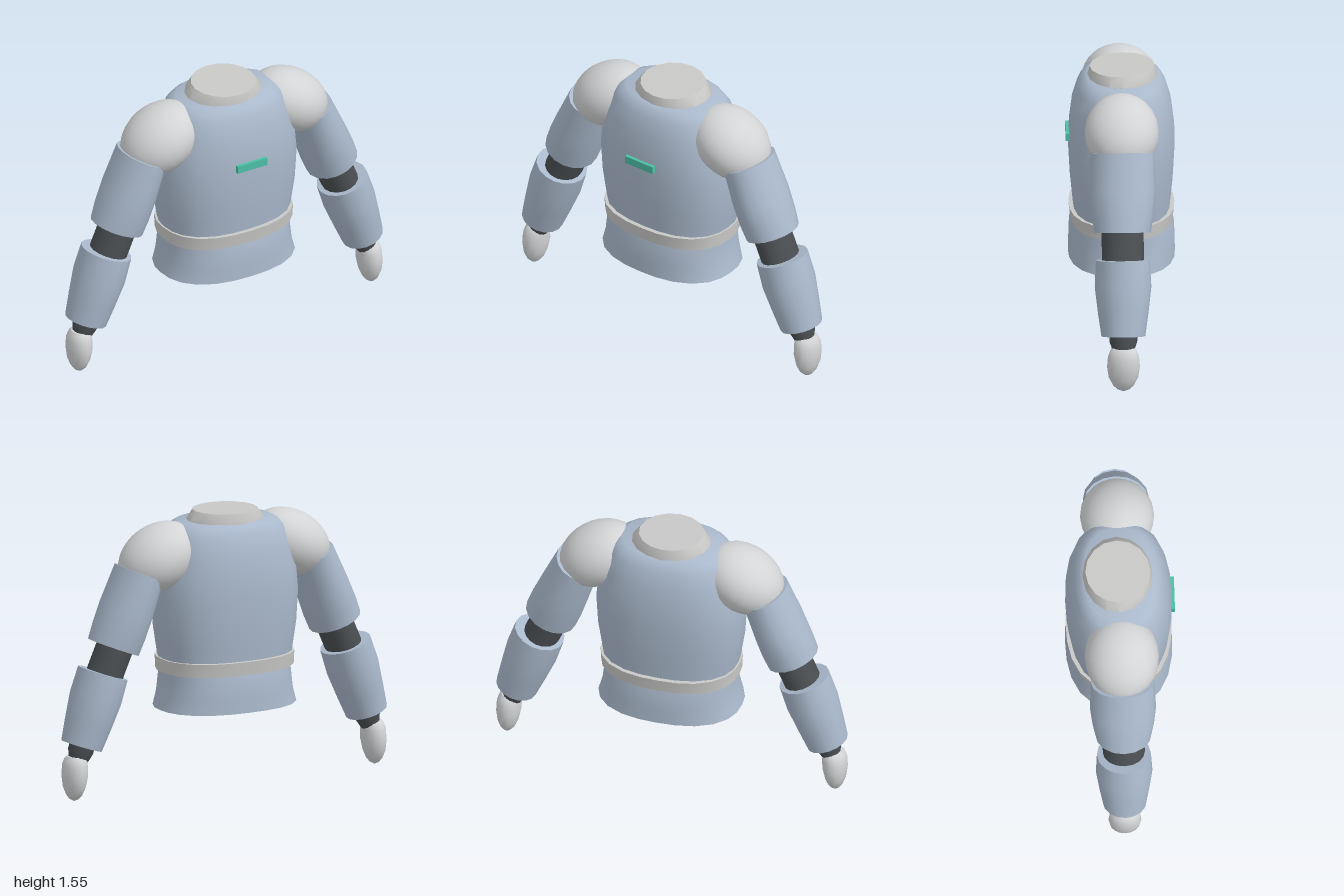
import * as THREE from 'three';
import { toCreasedNormals } from 'three/addons/utils/BufferGeometryUtils.js';

const mat = (name, color) => {
  const m = new THREE.MeshStandardMaterial({ color });
  m.name = name;
  return m;
};

// Capped tube through rows of [y, radiusX, radiusZ, offsetX, offsetZ], listed top to bottom.
// power 2 gives ellipses, higher values give squarer sections.
function loft(rows, sides = 16, power = 2, mirror = 1) {
  const n = rows.length - 1;
  const geo = new THREE.CylinderGeometry(1, 1, n, sides, n);
  const p = geo.attributes.position;
  for (let i = 0; i < p.count; i++) {
    const [y, rx, rz, ox = 0, oz = 0] = rows[Math.round(n / 2 - p.getY(i))];
    const x = p.getX(i), z = p.getZ(i);
    const sum = Math.abs(x) ** power + Math.abs(z) ** power;
    const k = sum > 0.01 ? sum ** (-1 / power) : 0;
    p.setXYZ(i, x * k * rx + ox * mirror, y, z * k * rz + oz);
  }
  return toCreasedNormals(geo, 0.75);
}

export function createModel() {
  const blue = mat('blueGrey cloth', 0xaab9cc);
  const pale = mat('pale shell', 0xd2d4d5);
  const trim = mat('trim grey', 0xc8c8c7);
  const dark = mat('dark joint', 0x4a4e51);
  const teal = mat('teal badge', 0x4cc0a6);

  const model = new THREE.Group();
  model.name = 'armouredTorso';
  const add = (parent, name, geo, material) => {
    const mesh = new THREE.Mesh(geo, material);
    mesh.name = name;
    parent.add(mesh);
    return mesh;
  };

  // Torso, belt and skirt
  const c = -0.005;
  add(model, 'chest', loft([
    [1.49, 0.27, 0.19, 0, c], [1.47, 0.31, 0.217, 0, c], [1.43, 0.34, 0.243, 0, c],
    [1.33, 0.375, 0.273, 0, c], [1.2, 0.403, 0.289, 0, c], [1.08, 0.415, 0.292, 0, c],
    [0.9, 0.405, 0.282, 0, c], [0.8, 0.39, 0.272, 0, c], [0.7, 0.375, 0.262, 0, c],
  ], 24, 2.4), blue);
  add(model, 'belt', loft([[0.735, 0.39, 0.29, 0, c], [0.66, 0.388, 0.281, 0, c]], 24, 2.4), trim);
  add(model, 'skirt', loft([
    [0.68, 0.365, 0.272, 0, c], [0.62, 0.368, 0.288, 0, c], [0.53, 0.379, 0.291, 0, c],
    [0.45, 0.402, 0.293, 0, c],
  ], 24, 2.4), blue);

  // Collar with a flat closed top, leaning slightly forward
  const collar = add(model, 'collar',
    loft([[0.05, 0.18, 0.178], [0, 0.22, 0.192], [-0.025, 0.22, 0.192]]), trim);
  collar.position.set(0, 1.492, -0.01);
  collar.rotation.x = 0.025;

  // Chest badge
  add(model, 'chestBadge', new THREE.BoxGeometry(0.19, 0.044, 0.03), teal)
    .position.set(0, 1.153, 0.286);

  // Arms
  for (const s of [1, -1]) {
    const arm = new THREE.Group();
    arm.name = s > 0 ? 'leftArm' : 'rightArm';
    model.add(arm);

    // Places a loft between two points; rows give [fraction from lower end, radiusX, radiusZ]
    const limb = (name, top, low, rows, material) => {
      const dx = low[0] - top[0], dy = top[1] - low[1], len = Math.hypot(dx, dy);
      const mesh = add(arm, name, loft(rows.map(([t, a, b]) => [t * len, a, b])), material);
      mesh.position.set(s * low[0], low[1], 0);
      mesh.rotation.z = s * Math.atan2(dx, dy);
    };

    const shoulder = add(arm, 'shoulder', new THREE.SphereGeometry(1, 24, 16), pale);
    shoulder.scale.set(0.24, 0.175, 0.203);
    shoulder.position.set(s * 0.41, 1.31, 0);
    shoulder.rotation.z = -s * Math.PI / 6;

    limb('upperSleeve', [0.53, 1.24], [0.69, 0.835],
      [[1, 0.127, 0.174], [0.5, 0.142, 0.181], [0.2, 0.149, 0.168], [0, 0.147, 0.154]], blue);
    limb('elbow', [0.64, 0.93], [0.77, 0.63],
      [[1, 0.1, 0.115], [0, 0.1, 0.115]], dark);
    limb('lowerSleeve', [0.755, 0.698], [0.888, 0.303],
      [[1, 0.142, 0.148], [0.65, 0.144, 0.155], [0.3, 0.13, 0.138], [0, 0.116, 0.12]], blue);
    limb('wrist', [0.87, 0.35], [0.918, 0.2],
      [[1, 0.07, 0.078], [0.5, 0.07, 0.076], [0, 0.045, 0.05]], dark);

    // Closed mitten hand
    add(arm, 'hand', loft([
      [0.25, 0.052, 0.055, 0.92], [0.235, 0.06, 0.072, 0.924], [0.2, 0.067, 0.085, 0.929],
      [0.14, 0.068, 0.09, 0.931], [0.08, 0.058, 0.081, 0.934], [0.035, 0.041, 0.058, 0.935],
      [0.012, 0.024, 0.034, 0.936], [0, 0.004, 0.006, 0.936],
    ], 16, 2, s), pale);
  }
  return model;
}
